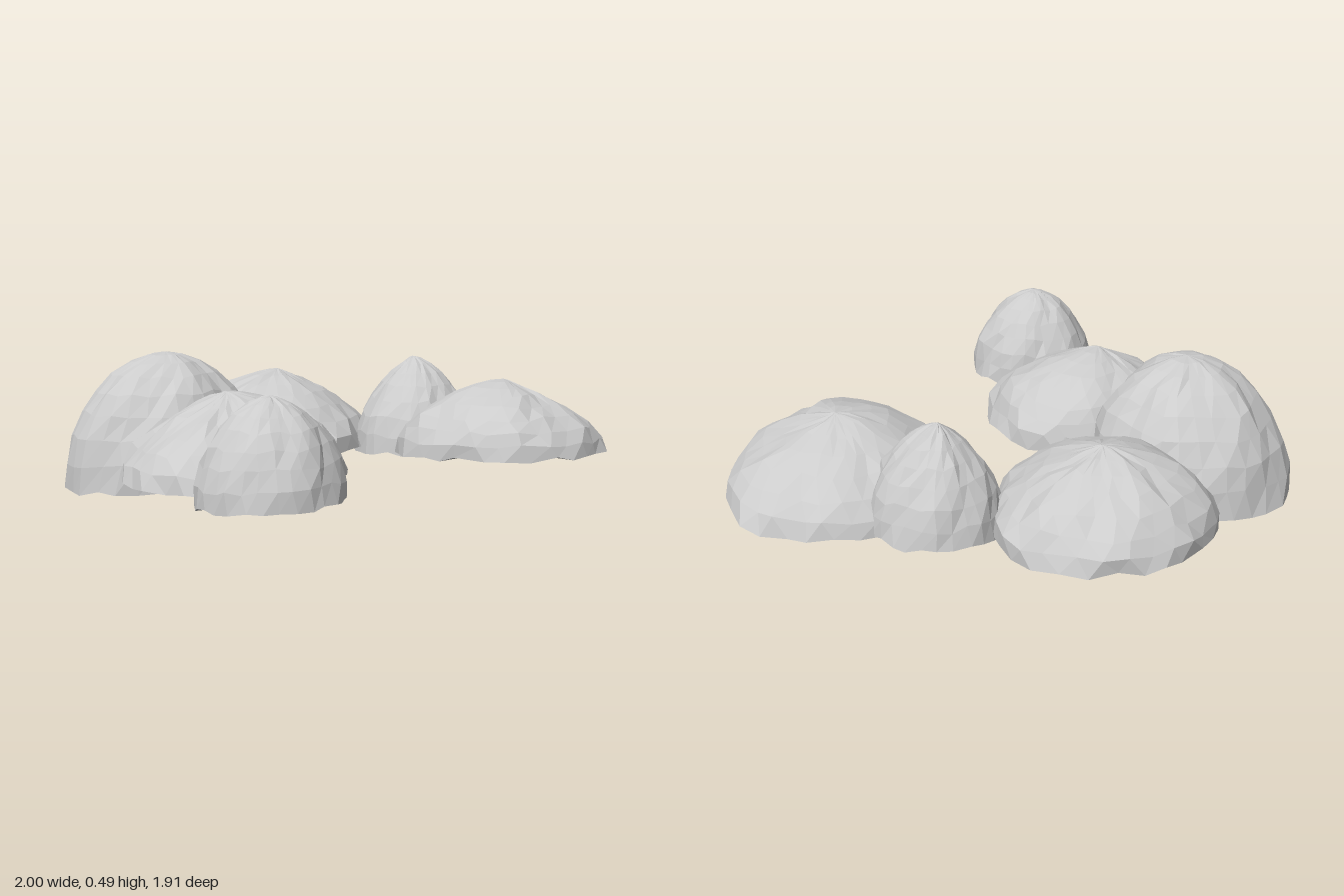
import * as THREE from 'three';

const SEGMENTS = 28, RINGS = 8;
const material = new THREE.MeshStandardMaterial({ color: 0xcccccc, flatShading: true });

// Repeatable noise in -1..1 for a grid position
function noise(i, j, seed) {
  const s = Math.sin(i * 12.9898 + j * 78.233 + seed * 37.719) * 43758.5453;
  return (s - Math.floor(s)) * 2 - 1;
}

// Radius of the ground outline, given evenly spaced around the mound from +x towards +z
function outlineRadius(outline, angle) {
  const n = outline.length;
  const t = angle / (Math.PI * 2) * n + n;
  const i = Math.floor(t);
  return THREE.MathUtils.lerp(outline[i % n], outline[(i + 1) % n], t - i);
}

// A faceted boulder: closed dome with a flat, slightly tilted base.
// power shapes the flank (1 is round, more is conical); lean adds to it towards leanAngle.
function mound({ name, x, z, base, top, outline, power, lean = 0, leanAngle = 0,
  tilt = [0, 0], twist = 0.1, apex = [0, 0] }, seed) {
  const profile = [new THREE.Vector2(0, 0)];
  for (let j = 0; j <= RINGS; j++) {
    const a = (1 - j / RINGS) * Math.PI / 2;
    profile.push(new THREE.Vector2(j === RINGS ? 0 : Math.sin(a), Math.cos(a)));
  }
  const geometry = new THREE.LatheGeometry(profile, SEGMENTS);
  const p = geometry.attributes.position;
  for (let k = 0; k < p.count; k++) {
    const j = k % profile.length, i = Math.floor(k / profile.length) % SEGMENTS;
    const { x: reach, y: h } = profile[j];
    // Rings swirl towards the peak, with shallow spiral folds
    const around = (i + noise(i, j, seed) * 0.2) / SEGMENTS * Math.PI * 2;
    const angle = around + twist * h;
    const flank = reach ** (power + lean * Math.cos(angle - leanAngle));
    const fold = 1 + 0.06 * h * Math.sin(angle * 6 + h * 4 + seed);
    const r = outlineRadius(outline, angle) * flank * fold * (1 + 0.025 * noise(i, j, seed + 9));
    const dx = Math.cos(angle) * r + apex[0] * h, dz = Math.sin(angle) * r + apex[1] * h;
    const ground = base + (tilt[0] * dx + tilt[1] * dz) * (1 - h);
    const bump = 0.01 * reach * noise(i, j, seed + 21);
    p.setXYZ(k, x + dx, Math.max(0, ground + (top - base) * h + bump), z + dz);
  }
  // The angle runs from +x to +z, so flip the winding to face outwards
  const index = geometry.index;
  for (let k = 0; k < index.count; k += 3) {
    const a = index.getX(k);
    index.setX(k, index.getX(k + 1));
    index.setX(k + 1, a);
  }
  geometry.computeVertexNormals();
  const mesh = new THREE.Mesh(geometry, material);
  mesh.name = name;
  return mesh;
}

const mounds = [
  { name: 'leftBoulder', x: 0.62, z: -0.1, base: 0.12, top: 0.39,
    power: 1.7, lean: 0.7, leanAngle: -Math.PI / 4, tilt: [0, 0.07], twist: 0.4,
    outline: [0.38, 0.38, 0.38, 0.41, 0.40, 0.38, 0.40, 0.39, 0.38, 0.38, 0.37, 0.41] },
  { name: 'smallBackBoulder', x: 0.345, z: -0.4, base: 0.095, top: 0.45,
    power: 1.6, lean: 0.3, leanAngle: Math.PI, apex: [-0.01, 0],
    outline: [0.235, 0.23, 0.23, 0.23, 0.235, 0.23] },
  { name: 'backBoulder', x: -0.18, z: -0.56, base: 0.105, top: 0.39,
    power: 1.7, lean: 0.3, twist: 0.7, apex: [0.01, -0.03],
    outline: [0.38, 0.36, 0.41, 0.40, 0.40, 0.39, 0.39, 0.40, 0.39, 0.39, 0.39, 0.41] },
  { name: 'tallRightBoulder', x: -0.64, z: -0.23, base: 0.045, top: 0.5,
    power: 1.12, tilt: [0.09, 0], apex: [0.02, 0.03],
    outline: [0.36, 0.35, 0.35, 0.35, 0.36, 0.36, 0.36, 0.36, 0.37, 0.36, 0.37, 0.35] },
  { name: 'frontBoulder', x: -0.41, z: 0.22, base: 0.115, top: 0.4,
    power: 1.75, lean: 0.7, leanAngle: Math.PI * 0.75, tilt: [0.03, 0], twist: 0.7, apex: [-0.02, -0.02],
    outline: [0.39, 0.39, 0.36, 0.36, 0.41, 0.39, 0.38, 0.40, 0.38, 0.36, 0.38, 0.40] },
  { name: 'smallFrontBoulder', x: -0.34, z: 0.725, base: 0.115, top: 0.45, power: 1.3, tilt: [0.05, 0.02],
    outline: [0.24, 0.235, 0.23, 0.235, 0.24, 0.23] },
];

export function createModel() {
  const group = new THREE.Group();
  group.name = 'boulderCluster';
  mounds.forEach((m, i) => group.add(mound(m, i + 1)));
  return group;
}
